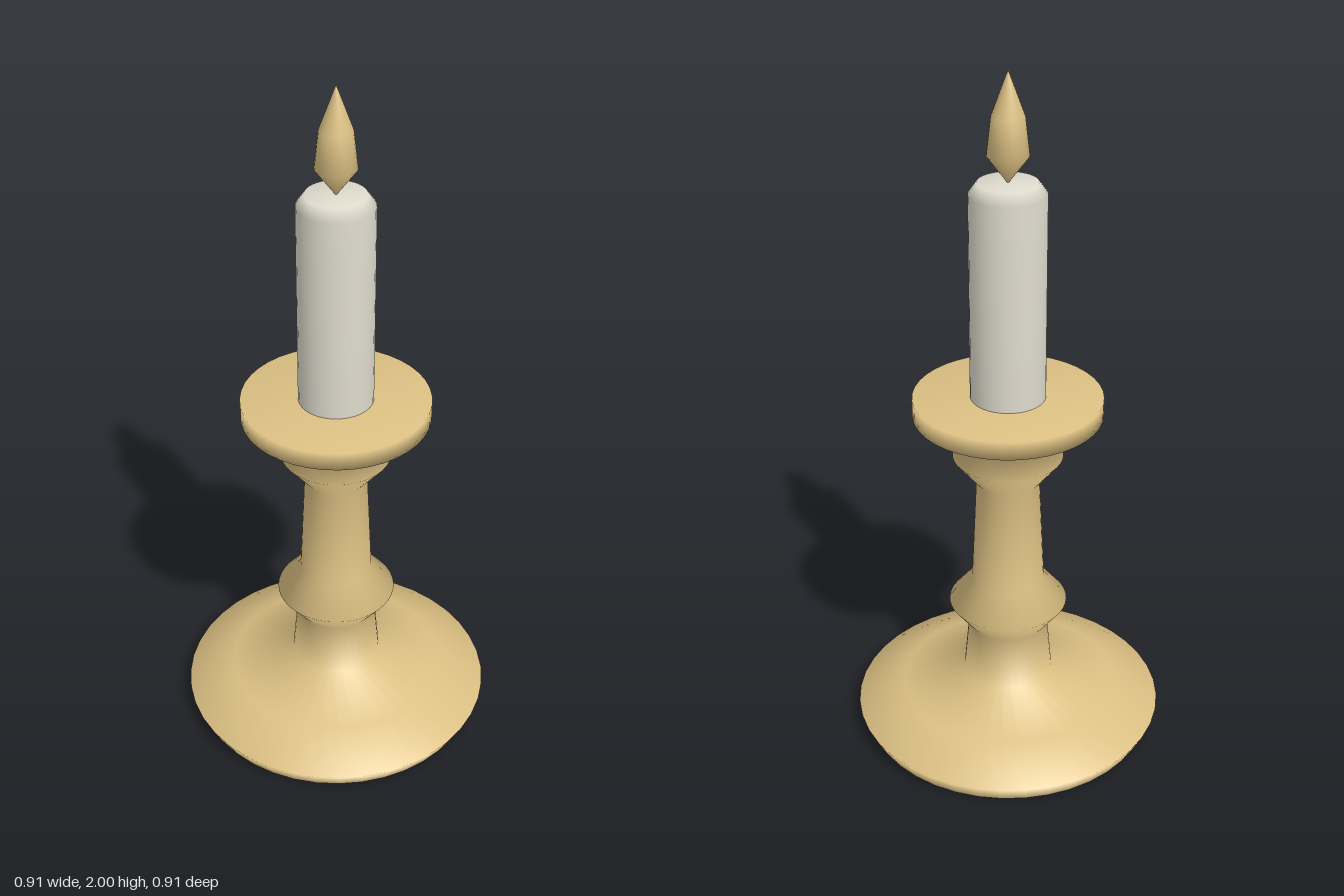
import * as THREE from 'three';

const brass = new THREE.MeshStandardMaterial({ color: 0xdcc083 });
brass.name = 'brass';
const wax = new THREE.MeshStandardMaterial({ color: 0xdedacc });
wax.name = 'wax';

// Turned part: profile points are [radius, height], from bottom to top
function turned(name, profile, sides, material) {
  const points = profile.map(([r, y]) => new THREE.Vector2(r, y));
  const mesh = new THREE.Mesh(new THREE.LatheGeometry(points, sides), material);
  mesh.name = name;
  return mesh;
}

export function createModel() {
  const group = new THREE.Group();
  group.name = 'candlestick';

  // Base, stem with two beads, and drip plate turned as one piece
  group.add(turned('holder', [
    [0.43, 0], [0.457, 0.053], [0.317, 0.11], [0.132, 0.164], // base
    [0.117, 0.328], [0.174, 0.404], [0.106, 0.487], // lower bead
    [0.091, 0.81], [0.158, 0.894], [0.105, 0.968], // upper bead
    [0.268, 1.026], [0.268, 1.08], [0, 1.08], // drip plate
  ], 40, brass));

  // Flat underside of the base
  const underside = new THREE.Mesh(new THREE.CircleGeometry(0.43, 40), brass);
  underside.name = 'baseUnderside';
  underside.rotation.set(Math.PI / 2, 0, Math.PI / 2);
  group.add(underside);

  // Candle with a softened top edge
  group.add(turned('candle', [
    [0.106, 1.08], [0.106, 1.672], [0.083, 1.704], [0, 1.704],
  ], 32, wax));

  // Flame
  group.add(turned('flame', [
    [0, 1.7], [0.057, 1.776], [0.045, 1.88], [0, 2],
  ], 24, brass));

  return group;
}
